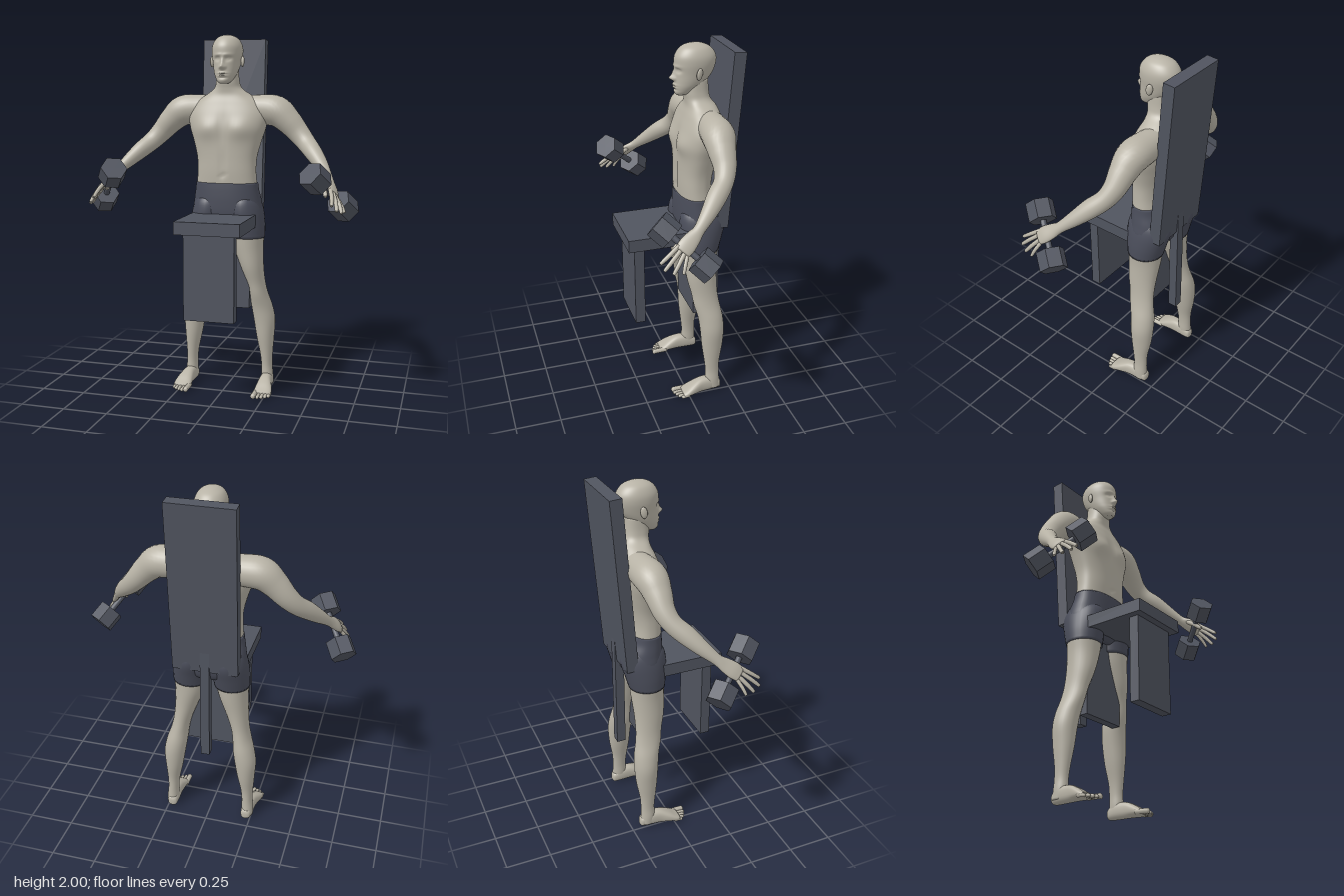
import * as THREE from 'three';

const skin = new THREE.MeshStandardMaterial({ color: 0xb8b3a6 });
skin.name = 'skin';
const charcoal = new THREE.MeshStandardMaterial({ color: 0x50545f });
charcoal.name = 'charcoal';
const shortsCloth = new THREE.MeshStandardMaterial({ color: 0x4a4d5a });
shortsCloth.name = 'shortsCloth';

const V3 = (x, y, z) => new THREE.Vector3(x, y, z);
const X = V3(1, 0, 0), Y = V3(0, 1, 0), BACK = V3(0, 0, -1);

// Smooth closed loft through sections [x, y, z, radiusU, radiusV].
// With axes [u, v] the rings stay parallel; with a hint vector they follow the path.
function loft(sections, { axes, hint, sides = 28, steps = 5, power = 2, rule } = {}) {
  const path = new THREE.CatmullRomCurve3(sections.map(s => V3(s[0], s[1], s[2])), false, 'catmullrom', 0.5);
  const radii = new THREE.CatmullRomCurve3(sections.map(s => V3(s[3], s[4], 0)), false, 'catmullrom', 0.5);
  const rows = (sections.length - 1) * steps, pos = [], idx = [];
  const bend = c => Math.sign(c) * Math.abs(c) ** (2 / power);
  const add = p => { if (rule) rule(p); pos.push(p.x, p.y, p.z); };
  for (let i = 0; i <= rows; i++) {
    const c = path.getPoint(i / rows), r = radii.getPoint(i / rows);
    let [u, v] = axes || [];
    if (hint) {
      const t = path.getTangent(i / rows);
      u = hint.clone().addScaledVector(t, -hint.dot(t)).normalize();
      v = t.clone().cross(u);
    }
    for (let j = 0; j < sides; j++) {
      const a = j / sides * Math.PI * 2;
      add(c.clone().addScaledVector(u, r.x * bend(Math.cos(a))).addScaledVector(v, r.y * bend(Math.sin(a))));
      if (i < rows) {
        const k = i * sides + j, n = i * sides + (j + 1) % sides;
        idx.push(k, n, n + sides, k, n + sides, k + sides);
      }
    }
  }
  // end caps
  add(path.getPoint(0));
  add(path.getPoint(1));
  const pole = (rows + 1) * sides, last = rows * sides;
  for (let j = 0; j < sides; j++) {
    const n = (j + 1) % sides;
    idx.push(pole, n, j, pole + 1, last + j, last + n);
  }
  const g = new THREE.BufferGeometry();
  g.setAttribute('position', new THREE.Float32BufferAttribute(pos, 3));
  g.setIndex(idx);
  g.computeVertexNormals();
  return g;
}

// [y, halfWidth, frontZ, backZ] to a centred loft section
const slice = ([y, rx, f, b]) => [0, y, (f + b) / 2, rx, (f - b) / 2];
const upright = { axes: [X, BACK] };
// soft bulge weight on both sides of the body
const soft = (p, x, y, sx, sy) => Math.exp(-(((Math.abs(p.x) - x) / sx) ** 2) - ((p.y - y) / sy) ** 2);

export function createModel() {
  const model = new THREE.Group();
  model.name = 'seatedLifter';
  const put = (name, geo, mat, parent = model) => {
    const m = new THREE.Mesh(geo, mat);
    m.name = name;
    parent.add(m);
    return m;
  };
  const group = name => { const g = new THREE.Group(); g.name = name; model.add(g); return g; };

  // chair
  const chair = group('chair');
  const box = (name, w, h, d, y, z) => {
    const m = put(name, new THREE.BoxGeometry(w, h, d), charcoal, chair);
    m.position.set(0, y, z);
    return m;
  };
  box('seat', 0.36, 0.07, 0.48, 0.985, 0.075);
  box('frontLegPanel', 0.28, 0.48, 0.055, 0.72, 0.248);
  box('rearLegPanel', 0.28, 0.48, 0.05, 0.72, -0.085);
  box('backPost', 0.05, 0.68, 0.05, 0.82, -0.225);
  box('backrest', 0.36, 0.96, 0.066, 1.5, -0.245).rotation.x = -0.078;

  // torso and neck, with chest, abdomen and spine relief
  put('torso', loft([
    [1.17, 0.172, -0.004, -0.185], [1.25, 0.166, 0, -0.18], [1.33, 0.169, 0, -0.19],
    [1.42, 0.191, 0, -0.21], [1.5, 0.216, -0.002, -0.225], [1.57, 0.222, -0.015, -0.23],
    [1.63, 0.19, -0.035, -0.225], [1.675, 0.125, -0.05, -0.21], [1.71, 0.077, -0.05, -0.185],
    [1.75, 0.063, -0.045, -0.175], [1.82, 0.058, -0.05, -0.17],
  ].map(slice), {
    ...upright, sides: 64, steps: 6, power: 2.35,
    rule: p => {
      if (p.z > -0.08) {
        p.z += 0.018 * soft(p, 0.095, 1.49, 0.07, 0.055) - 0.008 * soft(p, 0, 1.5, 0.02, 0.09);
        p.z -= 0.006 * soft(p, 0, 1.3, 0.012, 0.09) + 0.008 * soft(p, 0, 1.235, 0.01, 0.012);
      } else p.z += 0.014 * soft(p, 0, 1.4, 0.025, 0.25);
    },
  }), skin);

  // head with sculpted face
  put('head', loft([
    [1.735, 0.022, -0.002, -0.06], [1.75, 0.04, 0.008, -0.09], [1.78, 0.057, 0.01, -0.13],
    [1.81, 0.067, 0.008, -0.165], [1.85, 0.075, 0.006, -0.195], [1.9, 0.083, 0.008, -0.212],
    [1.94, 0.08, 0.003, -0.209], [1.975, 0.062, -0.022, -0.182], [1.993, 0.034, -0.055, -0.145],
    [1.999, 0.008, -0.09, -0.11],
  ].map(slice), {
    ...upright, sides: 80, steps: 9, power: 2.1,
    rule: p => {
      if (p.z < -0.05) return;
      p.z += 0.026 * soft(p, 0, 1.826, 0.013, 0.014) + 0.014 * soft(p, 0, 1.85, 0.009, 0.022);
      p.z += 0.007 * soft(p, 0.014, 1.822, 0.007, 0.008);
      p.z -= 0.015 * soft(p, 0.03, 1.868, 0.017, 0.012);
      p.z += 0.006 * soft(p, 0.03, 1.867, 0.009, 0.006) + 0.005 * soft(p, 0.025, 1.888, 0.025, 0.008);
      p.z += 0.009 * soft(p, 0, 1.791, 0.022, 0.006) + 0.008 * soft(p, 0, 1.778, 0.018, 0.006);
      p.z -= 0.006 * soft(p, 0, 1.7845, 0.022, 0.003) + 0.006 * soft(p, 0, 1.766, 0.025, 0.006);
    },
  }), skin);

  // shorts, hips
  put('shortsHips', loft([
    [0.925, 0.06, -0.04, -0.16], [0.96, 0.15, -0.012, -0.21], [1.02, 0.198, 0, -0.232],
    [1.09, 0.192, 0.003, -0.228], [1.15, 0.181, 0.002, -0.2], [1.192, 0.176, 0, -0.19],
  ].map(slice), { ...upright, sides: 48, power: 2.3 }), shortsCloth);

  for (const s of [1, -1]) {
    const side = s > 0 ? 'left' : 'right';
    const flip = list => list.map(([x, ...rest]) => [x * s, ...rest]);
    const at = (x, y, z) => V3(x * s, y, z);

    // ear
    const ear = put(side + 'Ear', new THREE.SphereGeometry(1, 16, 12), skin);
    ear.scale.set(0.01, 0.031, 0.018);
    ear.position.set(0.086 * s, 1.856, -0.1);
    ear.rotation.set(-0.15, 0.35 * s, 0);

    // leg
    const leg = group(side + 'Leg');
    put('shortsLeg', loft(flip([
      [0.116, 0.885, -0.105, 0.1, 0.1], [0.112, 0.96, -0.112, 0.102, 0.114],
      [0.104, 1.04, -0.12, 0.098, 0.127], [0.1, 1.1, -0.12, 0.08, 0.112], [0.098, 1.14, -0.12, 0.04, 0.06],
    ]), upright), shortsCloth, leg);
    put('bareLeg', loft(flip([
      [0.23, 0.02, -0.155, 0.032, 0.042], [0.228, 0.07, -0.15, 0.034, 0.042], [0.225, 0.13, -0.15, 0.031, 0.04],
      [0.222, 0.2, -0.148, 0.036, 0.045], [0.215, 0.3, -0.15, 0.05, 0.06], [0.209, 0.4, -0.15, 0.061, 0.068],
      [0.196, 0.48, -0.143, 0.06, 0.071], [0.18, 0.56, -0.125, 0.051, 0.074], [0.165, 0.63, -0.115, 0.052, 0.075],
      [0.145, 0.72, -0.105, 0.065, 0.085], [0.125, 0.82, -0.105, 0.082, 0.092], [0.118, 0.9, -0.105, 0.094, 0.096],
    ]), upright), skin, leg);

    // foot and toes
    put('foot', loft(flip([
      [0.225, 0.03, -0.2, 0.012, 0.016], [0.225, 0.034, -0.188, 0.028, 0.031], [0.227, 0.044, -0.14, 0.034, 0.043],
      [0.23, 0.044, -0.08, 0.036, 0.043], [0.235, 0.034, -0.03, 0.045, 0.033], [0.237, 0.022, 0.01, 0.05, 0.021],
      [0.237, 0.016, 0.035, 0.046, 0.013],
    ]), { axes: [X, Y], power: 2.5 }), skin, leg);
    [0.088, 0.085, 0.077, 0.066, 0.05].forEach((tip, i) => {
      const r = i ? 0.0095 : 0.014, x = [0.197, 0.221, 0.241, 0.26, 0.277][i];
      put('toe', loft(flip([
        [x, r + 0.004, 0.0, r, r], [x, r + 0.002, tip - 0.02, r, r],
        [x, r, tip - 0.007, r, r], [x, r, tip, r * 0.45, r * 0.45],
      ]), { axes: [X, Y], sides: 12, steps: 3 }), skin, leg);
    });

    // arm, running from the shoulder into the palm
    const grip = at(0.46, -0.6, -0.65).normalize();
    const arm = group(side + 'Arm');
    put('armAndPalm', loft(flip([
      [0.07, 1.6, -0.15, 0.07, 0.07], [0.18, 1.595, -0.146, 0.082, 0.08], [0.27, 1.585, -0.14, 0.085, 0.085],
      [0.335, 1.535, -0.135, 0.072, 0.072], [0.395, 1.47, -0.13, 0.058, 0.06], [0.445, 1.415, -0.105, 0.05, 0.052],
      [0.495, 1.365, -0.052, 0.05, 0.047], [0.545, 1.31, 0.005, 0.04, 0.037], [0.59, 1.255, 0.066, 0.029, 0.024],
      [0.608, 1.228, 0.1, 0.037, 0.02], [0.628, 1.198, 0.14, 0.044, 0.018], [0.642, 1.173, 0.17, 0.039, 0.013],
    ]), { hint: grip }), skin, arm);

    // fingers fanned across the palm
    const finger = (name, a, b, c, r) => put(name, loft(flip([
      [...a, r, r], [...b, r, r], [...c.map((v, i) => v * 0.9 + b[i] * 0.1), r * 0.8, r * 0.8], [...c, r * 0.35, r * 0.35],
    ]), { hint: grip, sides: 12, steps: 4 }), skin, arm);
    finger('indexFinger', [0.622, 1.2, 0.18], [0.638, 1.165, 0.23], [0.645, 1.128, 0.28], 0.011);
    finger('middleFinger', [0.633, 1.187, 0.168], [0.657, 1.143, 0.222], [0.67, 1.1, 0.268], 0.011);
    finger('ringFinger', [0.643, 1.172, 0.156], [0.672, 1.127, 0.195], [0.69, 1.085, 0.228], 0.011);
    finger('littleFinger', [0.65, 1.16, 0.146], [0.68, 1.118, 0.167], [0.698, 1.083, 0.18], 0.0095);
    finger('thumb', [0.598, 1.232, 0.115], [0.592, 1.2, 0.165], [0.602, 1.165, 0.205], 0.013);

    // hexagonal dumbbell
    const dumbbell = group(side + 'Dumbbell');
    const a = at(0.553, 1.257, 0.23), b = at(0.673, 1.1, 0.06);
    dumbbell.position.copy(a).add(b).multiplyScalar(0.5);
    dumbbell.quaternion.setFromUnitVectors(Y, a.clone().sub(b).normalize());
    const half = a.distanceTo(b) / 2;
    put('handle', new THREE.CylinderGeometry(0.016, 0.016, half * 2, 16), charcoal, dumbbell);
    for (const e of [1, -1]) {
      const hex = new THREE.CylinderGeometry(0.072, 0.072, 0.1, 6).toNonIndexed();
      hex.computeVertexNormals();
      put('weight', hex, charcoal, dumbbell).position.y = e * half;
    }
  }
  return model;
}
